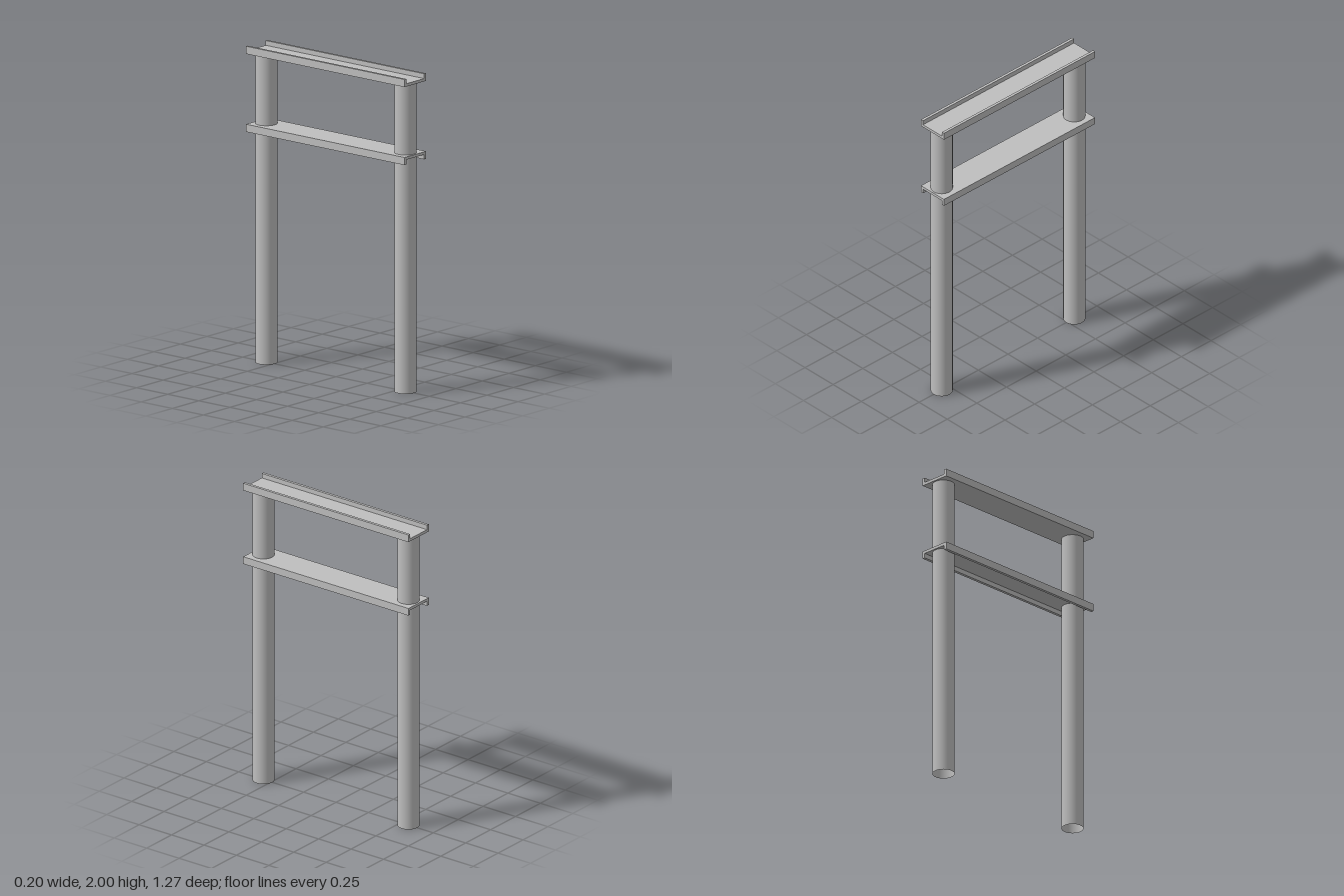
import * as THREE from 'three';

export function createModel() {
  const model = new THREE.Group();
  const steel = new THREE.MeshStandardMaterial({ color: 0xbfbfbf });
  steel.name = 'grey steel';
  const tubeSteel = new THREE.MeshStandardMaterial({ color: 0xbfbfbf, side: THREE.DoubleSide });
  tubeSteel.name = 'grey steel tube';

  const halfWidth = 0.102, height = 0.048, wall = 0.018, length = 1.274;
  const postRadius = 0.0675, postZ = 0.559;
  const lowerTop = 1.508, upperBottom = 2 - height;

  // U-shaped channel section, standing on y = 0 and open at the top
  const inner = halfWidth - wall;
  const section = new THREE.Shape([
    [-halfWidth, 0], [halfWidth, 0], [halfWidth, height], [inner, height],
    [inner, wall], [-inner, wall], [-inner, height], [-halfWidth, height],
  ].map(([x, y]) => new THREE.Vector2(x, y)));
  const channel = new THREE.ExtrudeGeometry(section, { depth: length, bevelEnabled: false });
  channel.translate(0, 0, -length / 2);

  const upperRail = new THREE.Mesh(channel, steel);
  upperRail.name = 'upperRail';
  upperRail.position.y = upperBottom;
  model.add(upperRail);

  // The lower channel is turned over, with its flanges down
  const lowerRail = new THREE.Mesh(channel, steel);
  lowerRail.name = 'lowerRail';
  lowerRail.rotation.z = Math.PI;
  lowerRail.position.y = lowerTop;
  model.add(lowerRail);

  // Hollow round posts, each interrupted by the lower rail
  function addPost(name, bottom, top, z) {
    const tube = new THREE.CylinderGeometry(postRadius, postRadius, top - bottom, 48, 1, true);
    const post = new THREE.Mesh(tube, tubeSteel);
    post.name = name;
    post.position.set(0, (bottom + top) / 2, z);
    model.add(post);
  }
  for (const [end, z] of [['front', postZ], ['back', -postZ]]) {
    addPost(end + 'LowerPost', 0, lowerTop - wall, z);
    addPost(end + 'UpperPost', lowerTop, upperBottom, z);
  }
  return model;
}
